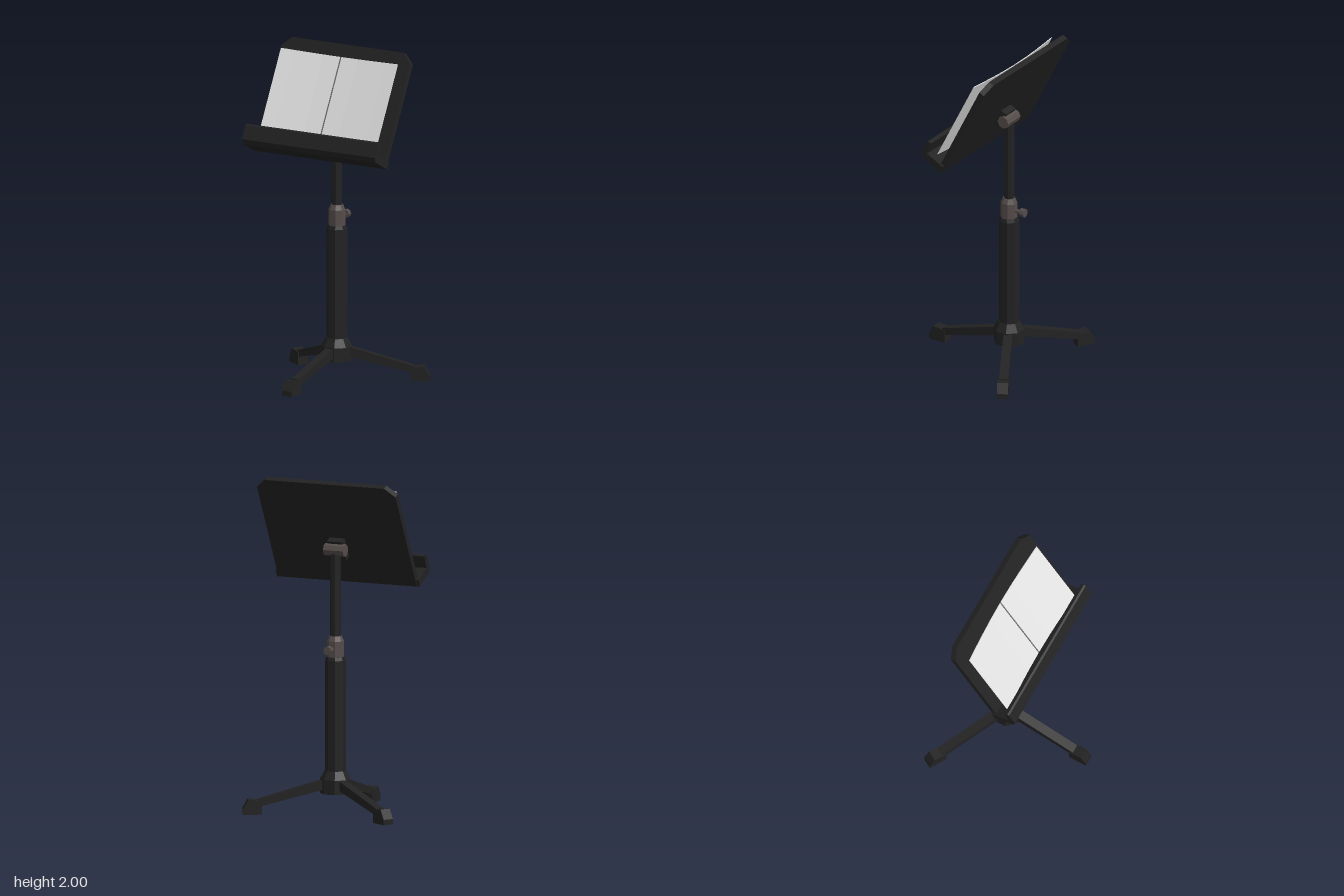
import * as THREE from 'three';

const mat = (name, color) => {
  const m = new THREE.MeshStandardMaterial({ color });
  m.name = name;
  m.flatShading = true;
  return m;
};

export function createModel() {
  const black = mat('black', 0x222222);
  const metal = mat('warm grey metal', 0x544c4a);
  const paper = mat('paper', 0xe6e6e6);
  const crease = mat('page crease', 0x6a6a6a);
  const root = new THREE.Group();
  root.name = 'musicStand';

  const add = (parent, name, geo, material, x = 0, y = 0, z = 0) => {
    const m = new THREE.Mesh(geo, material);
    m.name = name;
    m.position.set(x, y, z);
    parent.add(m);
    return m;
  };
  const group = (parent, name, x, y, z) => {
    const g = new THREE.Group();
    g.name = name;
    g.position.set(x, y, z);
    parent.add(g);
    return g;
  };
  const shape = (pts) => new THREE.Shape(pts.map(([a, b]) => new THREE.Vector2(a, b)));
  const extrude = (pts, depth) => new THREE.ExtrudeGeometry(shape(pts), { depth, bevelEnabled: false });
  // Side profile of [z, y] points, extruded across x
  const sideProfile = (pts, width) => extrude(pts, width).translate(0, 0, -width / 2).rotateY(-Math.PI / 2);
  // Eight-sided turned part from [half width, y] points, flat side to the front
  const octagon = (pts) => new THREE.LatheGeometry(
    pts.map(([r, y]) => new THREE.Vector2(r / Math.cos(Math.PI / 8), y)), 8).rotateY(Math.PI / 8);

  // Base and telescopic post
  const post = group(root, 'post', 0, 0, -0.12);
  add(post, 'hub', octagon([[0, 0.12], [0.085, 0.12], [0.085, 0.205], [0.06, 0.255], [0, 0.255]]), black);
  add(post, 'lowerTube', octagon([[0, 0.2], [0.057, 0.2], [0.057, 0.915], [0.05, 0.935], [0, 0.935]]), black);
  add(post, 'collar', octagon([[0, 0.93], [0.047, 0.93], [0.047, 1.03], [0.034, 1.06], [0, 1.06]]), metal);
  add(post, 'upperTube', octagon([[0, 1.04], [0.029, 1.04], [0.029, 1.57], [0, 1.57]]), black);

  // Height screw at the back of the collar
  add(post, 'screwShaft', new THREE.CylinderGeometry(0.012, 0.012, 0.06, 8).rotateX(Math.PI / 2), metal, 0, 0.985, -0.066);
  add(post, 'screwKnob', new THREE.CylinderGeometry(0.026, 0.026, 0.03, 8).rotateX(Math.PI / 2), metal, 0, 0.985, -0.101);

  // Tilt joint
  add(post, 'tiltJoint', new THREE.CylinderGeometry(0.038, 0.038, 0.13, 8).rotateZ(Math.PI / 2), metal, 0, 1.573, 0);

  // Three legs with wedge feet
  for (let i = 0; i < 3; i++) {
    const leg = group(post, 'leg', 0, 0, 0);
    leg.rotation.y = i * Math.PI * 2 / 3;
    add(leg, 'legBar', sideProfile([[0.03, 0.155], [0.46, 0.045], [0.46, 0.088], [0.03, 0.215]], 0.054), black);
    add(leg, 'foot', sideProfile(
      [[0.438, 0], [0.55, 0], [0.55, 0.032], [0.518, 0.09], [0.438, 0.078]], 0.066), black);
  }

  // Tilted desk: local y runs up the panel, local z out of its face
  const desk = group(root, 'desk', 0, 1.365, 0.066);
  desk.rotation.x = -27 * Math.PI / 180;
  add(desk, 'panel', extrude([[-0.453, 0.005], [0.453, 0.005], [0.453, 0.65], [0.39, 0.707],
    [-0.39, 0.707], [-0.453, 0.65]], 0.035), black, 0, 0, -0.02);
  add(desk, 'ledge', sideProfile([[-0.01, 0], [0.132, 0], [0.155, 0.023], [0.155, 0.112], [0.146, 0.122],
    [0.125, 0.122], [0.116, 0.045], [-0.01, 0.045]], 0.934), black);
  add(desk, 'bracket', new THREE.BoxGeometry(0.1, 0.13, 0.045), black, 0, 0.255, -0.038);

  // Open pages curving forward towards their outer edges
  const curve = [[0.003, 0.058], [0.12, 0.06], [0.225, 0.065], [0.32, 0.071], [0.41, 0.078]];
  for (const s of [1, -1]) {
    const front = curve.map(([x, w]) => [s * x, -w]);
    const back = curve.map(([x, w]) => [s * x, -w + 0.004]).reverse();
    const geo = extrude([...front, ...back], 0.572).rotateX(-Math.PI / 2);
    add(desk, s > 0 ? 'leftPage' : 'rightPage', geo, paper, 0, 0.047, 0);
  }
  add(desk, 'pageCrease', new THREE.BoxGeometry(0.008, 0.572, 0.004), crease, 0, 0.333, 0.0566);

  return root;
}
